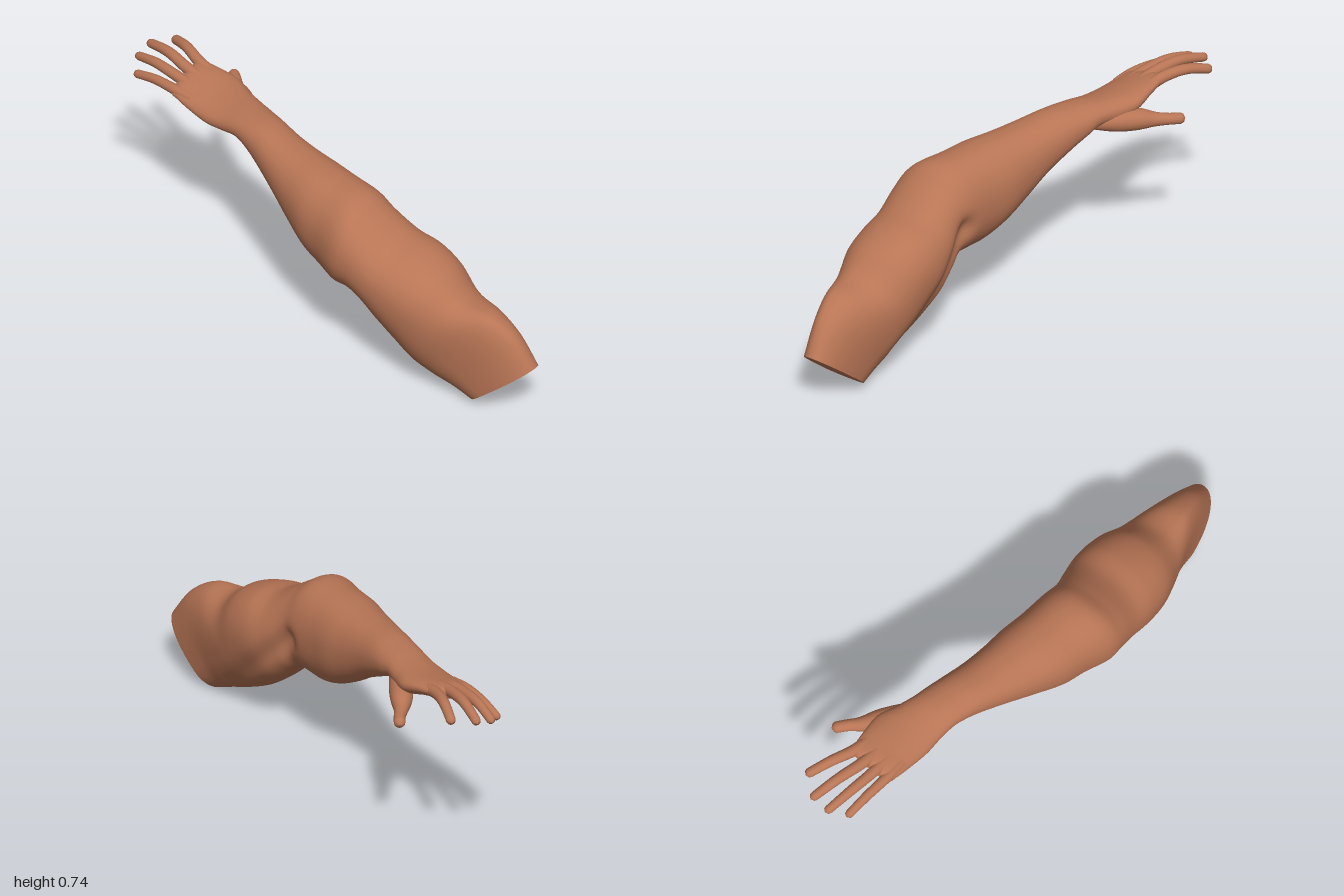
import * as THREE from 'three';

const skin = new THREE.MeshStandardMaterial({ color: 0xb87555 });
skin.name = 'skin';

// Skin over a list of closed rings (top -> +x side -> bottom -> -x side)
function loft(rings) {
  const n = rings[0].length, pos = [], idx = [];
  rings.forEach(r => r.forEach(p => pos.push(p.x, p.y, p.z)));
  for (let i = 0; i < rings.length - 1; i++) {
    for (let j = 0; j < n; j++) {
      const a = i * n + j, b = i * n + (j + 1) % n;
      idx.push(a, b, a + n, b, b + n, a + n);
    }
  }
  const g = new THREE.BufferGeometry();
  g.setAttribute('position', new THREE.Float32BufferAttribute(pos, 3));
  g.setIndex(idx);
  g.computeVertexNormals();
  return g;
}

// Flat disc closing a ring; facing back along the loft
function cap(ring) {
  const pos = [], c = new THREE.Vector3();
  ring.forEach(p => c.addScaledVector(p, 1 / ring.length));
  ring.forEach((p, j) => {
    const q = ring[(j + 1) % ring.length];
    pos.push(c.x, c.y, c.z, q.x, q.y, q.z, p.x, p.y, p.z);
  });
  const g = new THREE.BufferGeometry();
  g.setAttribute('position', new THREE.Float32BufferAttribute(pos, 3));
  g.computeVertexNormals();
  return g;
}

// Smooth interpolation through rows of numbers
function sample(rows, t) {
  const f = t * (rows.length - 1), i = Math.min(Math.floor(f), rows.length - 2), u = f - i;
  const at = k => rows[Math.max(0, Math.min(rows.length - 1, k))];
  const [a, b, c, d] = [at(i - 1), at(i), at(i + 1), at(i + 2)];
  return b.map((v, k) => v + 0.5 * u * (c[k] - a[k] +
    u * (2 * a[k] - 5 * v + 4 * c[k] - d[k] + u * (3 * (v - c[k]) + d[k] - a[k]))));
}

// Cross-section: top z,y | bottom z,y | -x edge, +x edge, crest x | edge height 0..1 | slope
const upperArm = [
  [1.0, .215, .735, 0, -.24, -.065, -.15, .3, 0],
  [.92, .33, .66, .03, -.25, -.05, -.165, .32, 0],
  [.82, .395, .58, .06, -.27, -.025, -.18, .38, 0],
  [.7, .415, .5, .1, -.3, .0, -.18, .5, 0],
  [.6, .49, .43, .15, -.325, .02, -.15, .55, 0],
  [.5, .535, .35, .215, -.33, .03, -.13, .52, 0],
  [.4, .56, .28, .28, -.325, .02, -.13, .5, 0],
  [.3, .625, .23, .306, -.325, .005, -.14, .5, 0],
];
const forearm = [
  [.22, .675, .17, .306, -.32, .015, -.14, .48, 0],
  [.1, .685, .09, .315, -.28, .03, -.11, .5, 0],
  [0, .69, 0, .35, -.25, .05, -.09, .5, 0],
  [-.1, .693, -.1, .41, -.2, .06, -.06, .5, 0],
  [-.2, .7, -.2, .48, -.15, .075, -.03, .5, 0],
  [-.3, .712, -.3, .54, -.1, .1, 0, .5, 0],
  [-.37, .712, -.37, .58, -.07, .12, .02, .5, 0],
];
const palm = [
  [-.43, .71, -.43, .605, -.05, .135, .04, .5, .05],
  [-.5, .705, -.5, .6, -.037, .165, .07, .5, .1],
  [-.57, .705, -.57, .61, -.03, .195, .08, .5, .18],
  [-.65, .71, -.65, .635, -.015, .195, .09, .5, .25],
  [-.72, .715, -.72, .655, 0, .19, .095, .5, .25],
  [-.75, .705, -.75, .665, .015, .18, .1, .5, .25],
  [-.76, .687, -.76, .683, .08, .12, .1, .5, .25],
];

// Groove between the muscles on the inner side of the elbow
function groove(y, z) {
  const t = ((z - .24) * .36 + (y - .46) * -.36) / (.36 * .36 * 2);
  const u = Math.max(0, Math.min(1, t));
  const d = Math.hypot(z - .24 - .36 * u, y - .46 + .36 * u);
  return .028 * (1 - .5 * u) * Math.exp(-(d * d) / .0016);
}

function armRing(row, sides) {
  const [tz, ty, bz, by, xl, xr, xc, vm, slope] = row, ring = [];
  for (let j = 0; j < sides; j++) {
    const a = j / sides * Math.PI * 2, s = Math.sin(a), c = Math.cos(a);
    const soft = w => Math.sign(w) * Math.pow(Math.abs(w), .92);
    let x = xc + (s > 0 ? xr - xc : xc - xl) * soft(s);
    const v = vm + (c > 0 ? 1 - vm : vm) * soft(c);
    const y = by + (ty - by) * v + slope * (x - (xl + xr) / 2);
    const z = bz + (tz - bz) * v;
    if (s > 0) x -= s * groove(y, z);
    ring.push(new THREE.Vector3(x, y, z));
  }
  return ring;
}

// Finger along [x, y, z, radius] points, with a rounded tip
function finger(points) {
  const rings = [], steps = 28, sides = 16, up = new THREE.Vector3(0, 1, 0);
  const centre = t => new THREE.Vector3(...sample(points, t).slice(0, 3));
  const end = centre(1), tipRadius = points[points.length - 1][3];
  for (let i = 0; i <= steps; i++) {
    const t = i / steps, p = centre(t);
    const dir = centre(Math.min(1, t + .01)).sub(centre(t - .01 < 0 ? 0 : t - .01)).normalize();
    const side = dir.clone().cross(up).normalize(), lift = side.clone().cross(dir);
    const toEnd = Math.min(1, p.distanceTo(end) / tipRadius);
    const r = Math.max(.0005, sample(points, t)[3] * Math.sqrt(1 - (1 - toEnd) ** 2));
    rings.push(Array.from({ length: sides }, (_, j) => {
      const a = j / sides * Math.PI * 2;
      return p.clone().addScaledVector(lift, r * Math.cos(a)).addScaledVector(side, r * Math.sin(a));
    }));
  }
  return loft(rings);
}

export function createModel() {
  const group = new THREE.Group();
  group.name = 'arm';
  const add = (name, geometry) => {
    const mesh = new THREE.Mesh(geometry, skin);
    mesh.name = name;
    group.add(mesh);
  };

  // Arm from shoulder cut to knuckles
  const rows = [...upperArm, ...forearm, ...palm], rings = [];
  for (let i = 0; i <= 150; i++) rings.push(armRing(sample(rows, i / 150), 72));
  add('armAndPalm', loft(rings));
  add('shoulderCut', cap(rings[0]));

  // Fingers and thumb
  const digits = {
    littleFinger: [[.02, .665, -.66, .02], [.028, .672, -.75, .02], [.045, .668, -.85, .018], [.062, .645, -.95, .016]],
    ringFinger: [[.065, .68, -.66, .022], [.075, .693, -.76, .021], [.1, .697, -.88, .019], [.13, .672, -.99, .016]],
    middleFinger: [[.11, .69, -.66, .023], [.125, .708, -.76, .022], [.16, .718, -.87, .02], [.2, .692, -.985, .017]],
    indexFinger: [[.155, .69, -.64, .023], [.178, .712, -.74, .022], [.222, .72, -.83, .02], [.27, .695, -.92, .018]],
    thumb: [[.08, .635, -.42, .025], [.135, .625, -.5, .042], [.19, .62, -.565, .042], [.24, .613, -.615, .027],
      [.28, .612, -.65, .022], [.318, .61, -.69, .022]],
  };
  for (const [name, points] of Object.entries(digits)) add(name, finger(points));
  return group;
}
